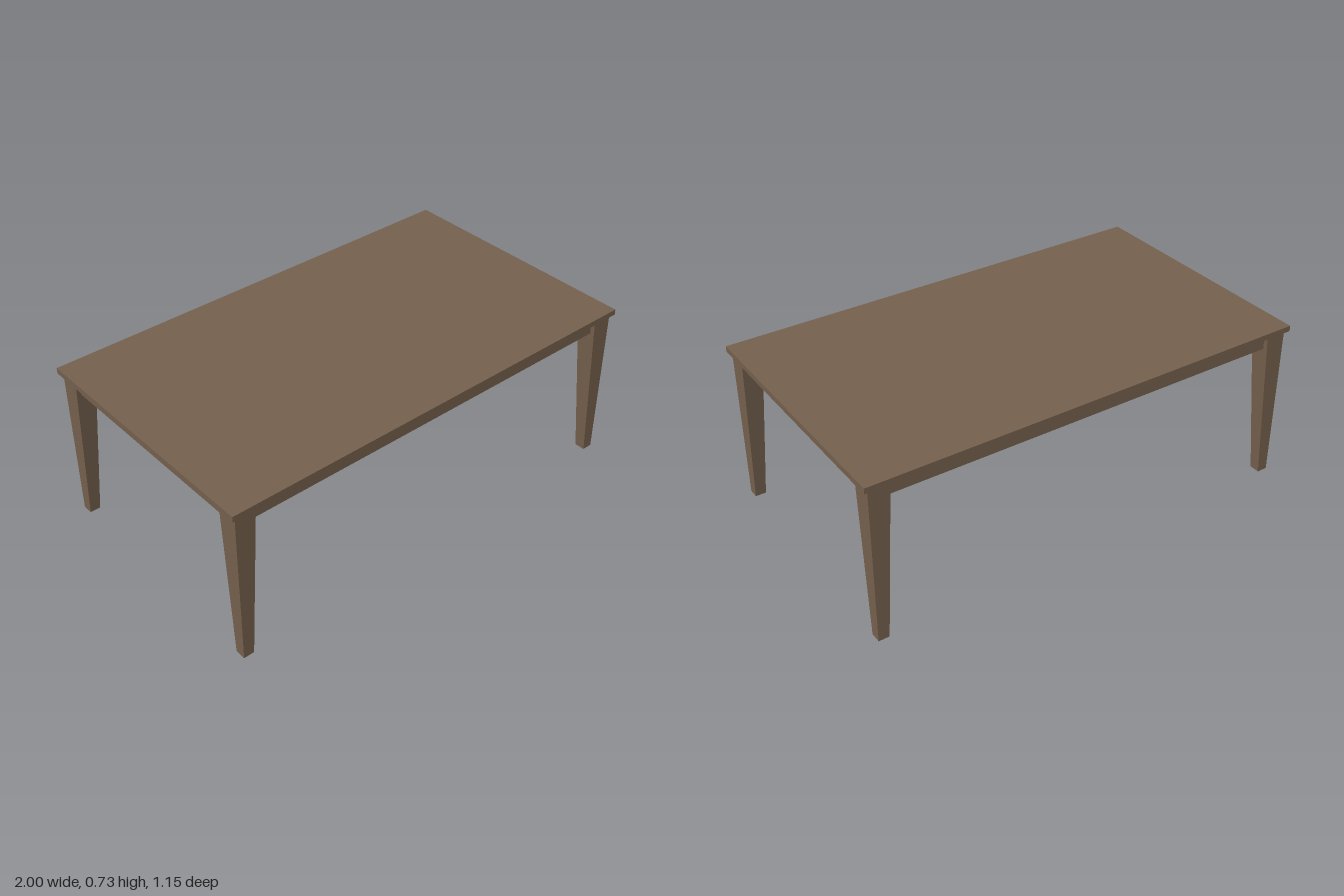
import * as THREE from 'three';

export function createModel() {
  const table = new THREE.Group();
  table.name = 'table';
  const wood = new THREE.MeshStandardMaterial({ name: 'brown wood', color: 0x735f4c, flatShading: true });

  const topY = 0.7, topThick = 0.025;
  const legX = 0.982, legZ = 0.564; // outer faces of the legs
  const legTop = 0.092, legFoot = 0.047;
  const apronH = 0.066, apronThick = 0.04, inset = 0.02;

  function addBox(name, w, h, d, x, y, z) {
    const mesh = new THREE.Mesh(new THREE.BoxGeometry(w, h, d), wood);
    mesh.name = name;
    mesh.position.set(x, y, z);
    table.add(mesh);
  }

  // Flat slab top
  addBox('tabletop', 2, topThick, 1.155, 0, topY + topThick / 2, 0);

  // Legs: outer faces upright, inner faces tapering towards the foot
  for (const sx of [-1, 1]) {
    for (const sz of [-1, 1]) {
      const geo = new THREE.BoxGeometry(legTop, topY, legTop);
      const p = geo.attributes.position;
      for (let i = 0; i < p.count; i++) {
        const width = p.getY(i) > 0 ? legTop : legFoot;
        const inX = p.getX(i) * sx < 0 ? width : 0;
        const inZ = p.getZ(i) * sz < 0 ? width : 0;
        p.setXYZ(i, sx * (legX - inX), p.getY(i) + topY / 2, sz * (legZ - inZ));
      }
      geo.computeVertexNormals();
      const leg = new THREE.Mesh(geo, wood);
      leg.name = (sz > 0 ? 'front' : 'back') + (sx > 0 ? 'Left' : 'Right') + 'Leg';
      table.add(leg);
    }
  }

  // Aprons set slightly back between the legs
  const apronY = topY - apronH / 2;
  const back = inset + apronThick / 2;
  const reach = 2 * (legTop - 0.006);
  for (const s of [-1, 1]) {
    addBox(s > 0 ? 'frontApron' : 'backApron', 2 * legX - reach, apronH, apronThick, 0, apronY, s * (legZ - back));
    addBox(s > 0 ? 'leftApron' : 'rightApron', apronThick, apronH, 2 * legZ - reach, s * (legX - back), apronY, 0);
  }
  return table;
}
